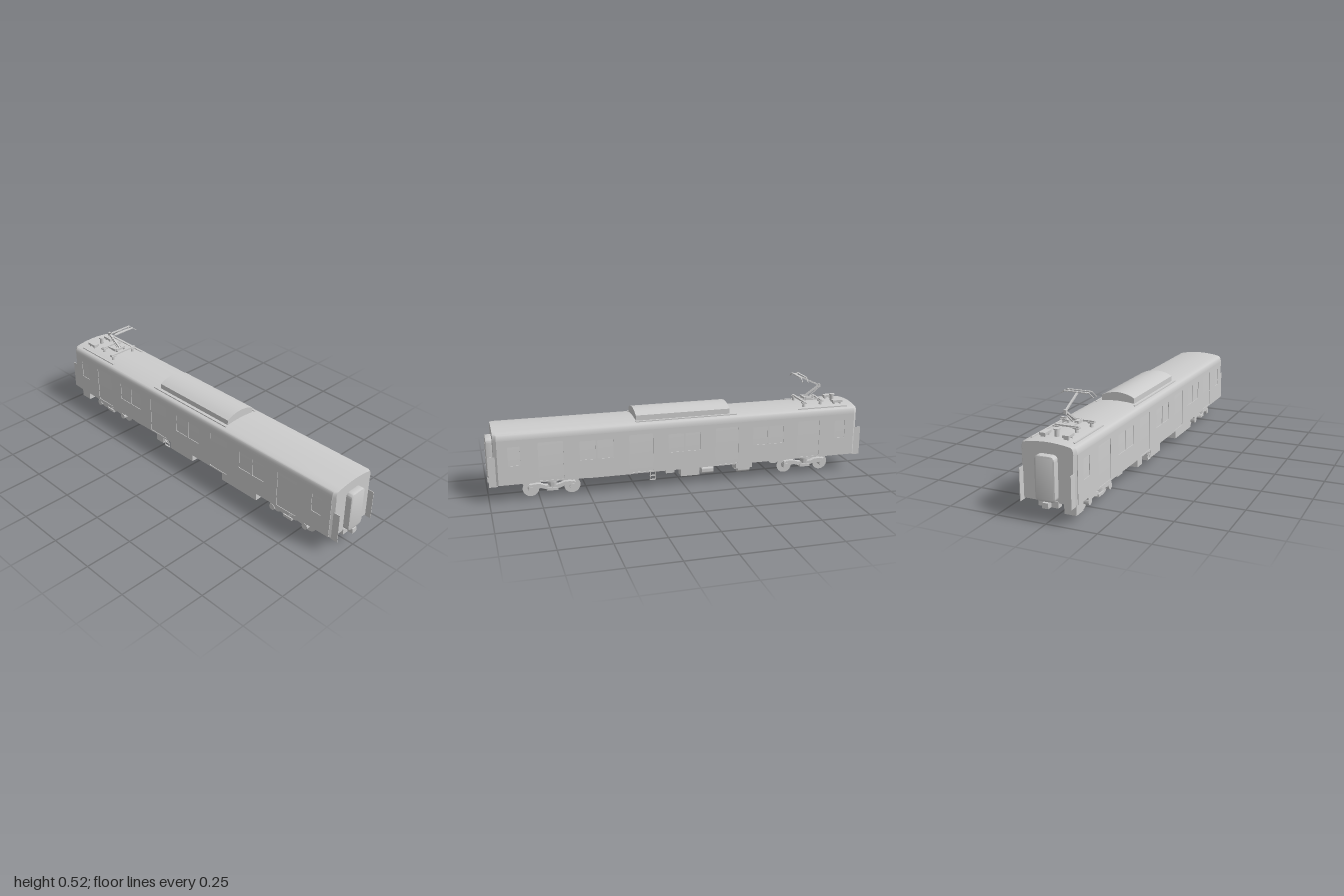
import * as THREE from 'three';
import { toCreasedNormals } from 'three/addons/utils/BufferGeometryUtils.js';

const grey = new THREE.MeshStandardMaterial({ color: 0xcccccc });
const thin = new THREE.MeshStandardMaterial({ color: 0xcccccc, side: THREE.DoubleSide });

function add(parent, name, geometry, x = 0, y = 0, z = 0, material = grey) {
  const mesh = new THREE.Mesh(geometry, material);
  mesh.name = name;
  mesh.position.set(x, y, z);
  parent.add(mesh);
  return mesh;
}

// Box given by its limits on each axis
function box(parent, name, x0, x1, y0, y1, z0, z1) {
  return add(parent, name, new THREE.BoxGeometry(x1 - x0, y1 - y0, z1 - z0),
    (x0 + x1) / 2, (y0 + y1) / 2, (z0 + z1) / 2);
}

// Square bar between two points
function bar(parent, name, a, b, w, h = w) {
  const p = new THREE.Vector3(...a), q = new THREE.Vector3(...b);
  const mesh = add(parent, name, new THREE.BoxGeometry(w, h, p.distanceTo(q)));
  mesh.position.copy(p).lerp(q, 0.5);
  mesh.lookAt(q);
  return mesh;
}

const cyl = (r0, r1, h, n = 20) => toCreasedNormals(new THREE.CylinderGeometry(r0, r1, h, n), 0.7);

const extrude = (shape, depth, options = {}) => toCreasedNormals(
  new THREE.ExtrudeGeometry(shape, { depth, bevelEnabled: false, curveSegments: 8, ...options }), 0.5);

// Rounded rectangle outline
function roundRect(path, x0, x1, y0, y1, r) {
  path.moveTo(x0 + r, y0);
  path.lineTo(x1 - r, y0).quadraticCurveTo(x1, y0, x1, y0 + r);
  path.lineTo(x1, y1 - r).quadraticCurveTo(x1, y1, x1 - r, y1);
  path.lineTo(x0 + r, y1).quadraticCurveTo(x0, y1, x0, y1 - r);
  path.lineTo(x0, y0 + r).quadraticCurveTo(x0, y0, x0 + r, y0);
  return path;
}

// Symmetric outline from its right half, listed bottom to top
const mirrored = half => new THREE.Shape(
  [...half, ...half.slice().reverse().filter(p => p[0] > 0).map(([x, y]) => [-x, y])]
    .map(p => new THREE.Vector2(...p)));

function buildBody(model) {
  // Shell with narrowed end corners
  const profile = mirrored([[0.134, 0.093], [0.134, 0.322], [0.137, 0.322], [0.136, 0.333], [0.133, 0.343],
    [0.129, 0.35], [0.123, 0.354], [0.095, 0.359], [0.06, 0.363], [0.03, 0.365], [0, 0.366]]);
  const shell = new THREE.ExtrudeGeometry(profile, { depth: 3, steps: 3, bevelEnabled: false });
  const pos = shell.attributes.position, rings = [-0.968, -0.952, 0.952, 0.968];
  for (let i = 0; i < pos.count; i++) {
    const ring = Math.round(pos.getZ(i));
    if (ring === 0 || ring === 3) pos.setX(i, pos.getX(i) * 0.92);
    pos.setZ(i, rings[ring]);
  }
  add(model, 'bodyShell', toCreasedNormals(shell, 0.5));

  // Side skins with shallow door and window recesses
  const skin = new THREE.Shape([[-0.952, 0.093], [0.952, 0.093], [0.952, 0.322], [-0.952, 0.322]]
    .map(p => new THREE.Vector2(...p)));
  const hole = (z, w, y0, y1, r) =>
    skin.holes.push(roundRect(new THREE.Path(), z - w / 2, z + w / 2, y0, y1, r));
  for (const z of [-0.69, -0.23, 0.23, 0.69]) hole(z, 0.125, 0.1, 0.3, 0.008);
  for (const z of [-0.46, 0, 0.46]) for (const d of [-0.045, 0.045]) hole(z + d, 0.082, 0.19, 0.288, 0.005);
  for (const z of [-0.87, 0.87]) hole(z, 0.06, 0.19, 0.288, 0.005);
  const skinGeometry = extrude(skin, 0.003).rotateY(Math.PI / 2);
  for (const x of [0.134, -0.137]) add(model, 'sideSkin', skinGeometry, x);

  // Gangways, couplers and corner guards at both ends
  const gangway = extrude(roundRect(new THREE.Shape(), -0.044, 0.044, 0.108, 0.307, 0.018), 0.036,
    { bevelEnabled: true, bevelSize: 0.006, bevelThickness: 0.006, bevelSegments: 2 });
  for (const s of [1, -1]) {
    const end = new THREE.Group();
    end.name = s > 0 ? 'frontEnd' : 'rearEnd';
    if (s < 0) end.rotation.y = Math.PI;
    model.add(end);
    add(end, 'gangway', gangway, 0, 0, 0.958);
    box(end, 'gangwaySill', -0.05, 0.05, 0.07, 0.1, 0.94, 0.972);
    box(end, 'coupler', -0.015, 0.015, 0.072, 0.098, 0.9, 1);
    for (const x of [-0.126, 0.126]) box(end, 'cornerGuard', x - 0.0015, x + 0.0015, 0.085, 0.24, 0.955, 0.998);
  }
}

function buildRoof(model) {
  const hump = mirrored([[0.089, 0.352], [0.089, 0.387], [0.07, 0.396], [0.05, 0.403], [0.025, 0.408], [0, 0.41]]);
  add(model, 'airConditioner', extrude(hump, 0.503), 0, 0, -0.257);
  for (const x of [-0.105, 0.105])
    for (const [z0, z1] of [[-0.29, 0.25], [-0.92, -0.64]])
      box(model, 'roofRail', x - 0.004, x + 0.004, 0.35, 0.362, z0, z1);
  // Equipment beside the current collector
  for (const x of [-0.057, 0.057]) {
    box(model, 'roofBox', x - 0.016, x + 0.016, 0.372, 0.384, -0.91, -0.855);
    for (const z of [-0.9, -0.865]) box(model, 'roofBoxFoot', x - 0.012, x + 0.012, 0.355, 0.372, z - 0.004, z + 0.004);
  }
  add(model, 'arrester', cyl(0.011, 0.011, 0.04, 12), 0, 0.382, -0.88);
  add(model, 'arresterCap', cyl(0.015, 0.015, 0.006, 12), 0, 0.4, -0.88);
}

function buildPantograph(model) {
  const g = new THREE.Group();
  g.name = 'pantograph';
  model.add(g);
  // Insulated base frame
  for (const [x, z] of [[-0.07, -0.685], [0.07, -0.685], [-0.05, -0.79], [0.05, -0.79]]) {
    add(g, 'insulator', cyl(0.007, 0.01, 0.026, 10), x, 0.37, z);
    box(g, 'insulatorCap', x - 0.015, x + 0.015, 0.38, 0.386, z - 0.012, z + 0.012);
  }
  box(g, 'baseBeam', -0.085, 0.085, 0.384, 0.392, -0.691, -0.679);
  box(g, 'baseBeam', -0.06, 0.06, 0.384, 0.392, -0.795, -0.785);
  for (const x of [-0.025, 0.025]) {
    box(g, 'baseRail', x - 0.004, x + 0.004, 0.384, 0.392, -0.79, -0.685);
    box(g, 'springBox', x - 0.01, x + 0.01, 0.386, 0.4, -0.745, -0.71);
  }
  box(g, 'pivot', -0.03, 0.03, 0.39, 0.402, -0.715, -0.703);
  // Folding arm
  bar(g, 'lowerArm', [0, 0.397, -0.71], [0, 0.457, -0.8], 0.009);
  bar(g, 'controlRod', [0, 0.392, -0.735], [0, 0.447, -0.802], 0.004);
  box(g, 'knee', -0.007, 0.007, 0.446, 0.464, -0.806, -0.793);
  bar(g, 'upperArm', [0, 0.457, -0.8], [0, 0.515, -0.68], 0.008);
  // Collector head with two strips and drooping horns
  box(g, 'headBeam', -0.05, 0.05, 0.513, 0.517, -0.684, -0.676);
  for (const z of [-0.695, -0.665]) {
    box(g, 'contactStrip', -0.064, 0.064, 0.518, 0.522, z - 0.005, z + 0.005);
    for (const s of [-1, 1]) bar(g, 'horn', [s * 0.063, 0.52, z], [s * 0.089, 0.499, z], 0.004, 0.003);
  }
  for (const x of [-0.048, 0.048]) box(g, 'headLink', x - 0.002, x + 0.002, 0.514, 0.519, -0.697, -0.663);
}

function buildBogie(model, zc) {
  const bogie = new THREE.Group();
  bogie.name = 'bogie';
  bogie.position.z = zc;
  model.add(bogie);
  // Side frame outline, dipping in the middle
  const half = [[0.03, 0.042], [0.06, 0.053], [0.085, 0.05], [0.118, 0.056], [0.12, 0.066], [0.09, 0.075],
    [0.06, 0.073], [0.035, 0.064], [0, 0.062]];
  const frame = extrude(mirrored(half), 0.024).rotateY(Math.PI / 2).translate(-0.012, 0, 0);
  for (const s of [-1, 1]) {
    add(bogie, 'sideFrame', frame, s * 0.097);
    add(bogie, 'airSpring', cyl(0.034, 0.034, 0.011), s * 0.095, 0.088, 0);
    add(bogie, 'springSeat', cyl(0.024, 0.02, 0.028), s * 0.096, 0.07, 0);
    box(bogie, 'springPlank', s * 0.095 - 0.02, s * 0.095 + 0.02, 0.036, 0.05, -0.028, 0.028);
    for (const z of [-0.105, 0.105]) {
      add(bogie, 'wheel', new THREE.CircleGeometry(0.042, 28).rotateY(Math.PI / 2), s * 0.074, 0.042, z, thin);
      add(bogie, 'axleBox', cyl(0.017, 0.017, 0.036, 14).rotateZ(Math.PI / 2), s * 0.093, 0.045, z);
      box(bogie, 'axleSpring', s * 0.097 - 0.01, s * 0.097 + 0.01, 0.05, 0.072, z - 0.012, z + 0.012);
    }
  }
}

function buildUnderfloor(model) {
  const boxes = [
    [-0.118, -0.02, 0.033, 0.24, 0.48],
    [-0.118, -0.04, 0.035, -0.16, 0.015],
    [0.05, 0.1, 0.04, -0.09, 0.01],
    [0.04, 0.075, 0.055, 0.04, 0.085],
    [-0.115, -0.055, 0.035, -0.275, -0.22],
    [0.05, 0.115, 0.06, -0.38, -0.29],
    [0.02, 0.06, 0.038, -0.375, -0.3],
    [-0.1, -0.045, 0.052, -0.48, -0.42],
    [-0.1, -0.06, 0.07, -0.51, -0.4],
    [-0.12, -0.06, 0.035, -0.94, -0.875],
  ];
  for (const [x0, x1, y0, z0, z1] of boxes) box(model, 'equipmentBox', x0, x1, y0, 0.095, z0, z1);
  const tank = cyl(0.022, 0.022, 0.065).rotateX(Math.PI / 2);
  add(model, 'airTank', tank, 0.095, 0.066, -0.132);
  add(model, 'compressor', tank, 0.09, 0.056, -0.335);
  // Hanging boarding steps on both sides
  for (const s of [-1, 1]) {
    for (const d of [-0.014, 0.014])
      bar(model, 'stepHanger', [s * 0.135, 0.095, s * 0.17 + d], [s * 0.131, 0.048, s * 0.17 + d], 0.004);
    for (const y of [0.05, 0.072]) box(model, 'step', s * 0.131 - 0.004, s * 0.131 + 0.004, y - 0.002, y + 0.002, s * 0.17 - 0.016, s * 0.17 + 0.016);
  }
}

export function createModel() {
  const model = new THREE.Group();
  model.name = 'railCar';
  buildBody(model);
  buildRoof(model);
  buildPantograph(model);
  for (const z of [-0.685, 0.685]) buildBogie(model, z);
  buildUnderfloor(model);
  return model;
}
